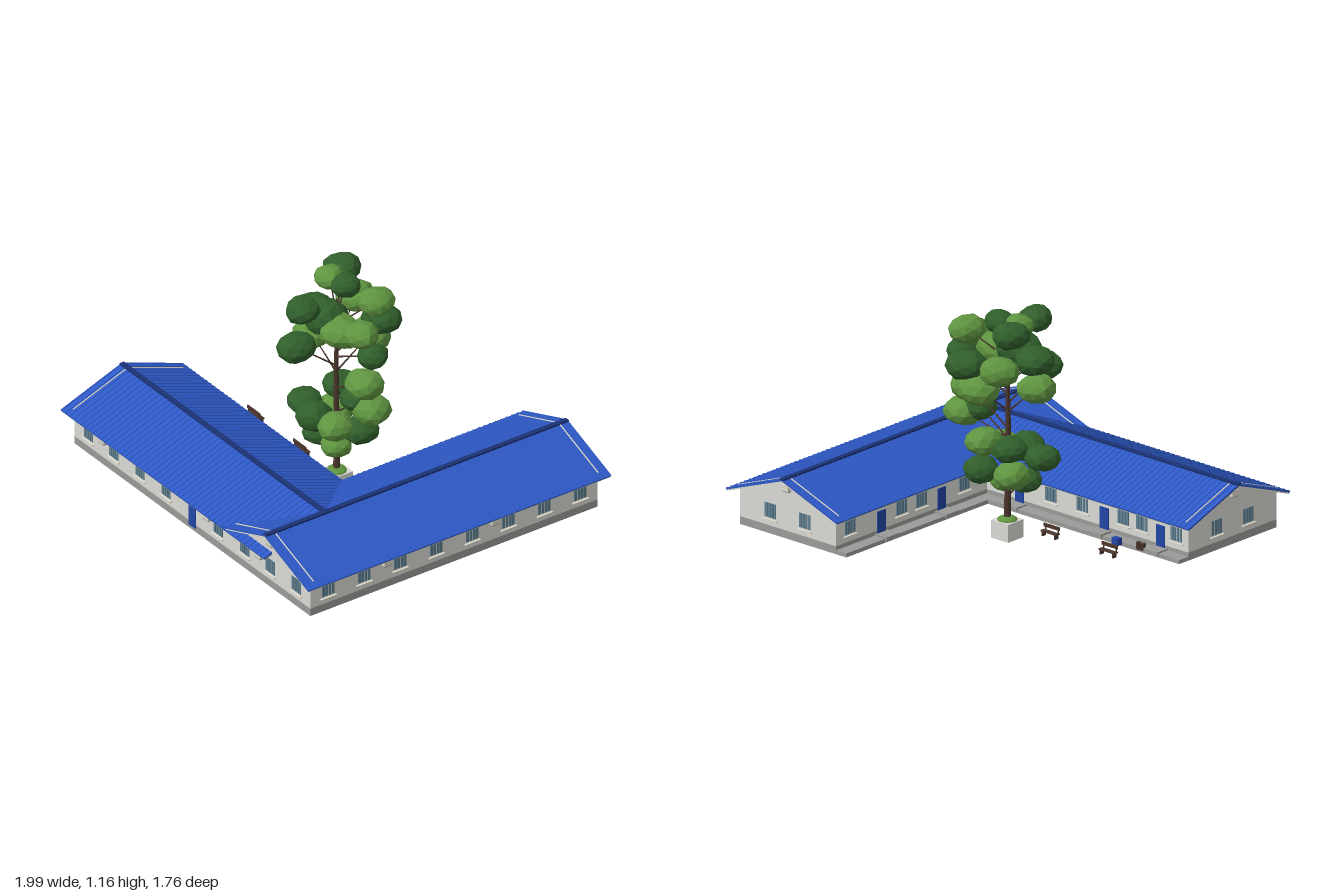
import * as THREE from 'three';

const material = (name, color, flat = false) => {
  const m = new THREE.MeshStandardMaterial({ color, flatShading: flat });
  m.name = name;
  return m;
};

export function createModel() {
  const root = new THREE.Group();
  root.name = 'schoolhouseWithTree';
  const roofBlue = material('roof blue', 0x2d58c6);
  const ridgeBlue = material('ridge navy', 0x1a3274);
  const wall = material('wall grey', 0xd9dad4);
  const plinth = material('plinth grey', 0x9a9a98);
  const glass = material('window glass', 0x5f7f90);
  const doorBlue = material('door blue', 0x2145a6);
  const trim = material('trim cream', 0xdcd9cc);
  const wood = material('wood brown', 0x4b362c);
  const leafLight = material('leaf light green', 0x5f9440, true);
  const leafDark = material('leaf dark green', 0x315f2c, true);

  const add = (parent, name, geo, mat, x = 0, y = 0, z = 0) => {
    const m = new THREE.Mesh(geo, mat);
    m.name = name;
    m.position.set(x, y, z);
    parent.add(m);
    return m;
  };
  const box = (parent, name, mat, w, h, d, x, y, z) =>
    add(parent, name, new THREE.BoxGeometry(w, h, d), mat, x, y, z);
  const group = (parent, name, x = 0, y = 0, z = 0, ry = 0) => {
    const g = new THREE.Group();
    g.name = name;
    g.position.set(x, y, z);
    g.rotation.y = ry;
    parent.add(g);
    return g;
  };

  // Gabled wing along local x, with its ridge at local z = 0
  const RUN = 0.355, RISE = 0.13, HALF = 0.3075, EAVE = 0.24;
  const pitch = Math.atan2(RISE, RUN), slope = Math.hypot(RUN, RISE);
  function wing(name, g, x0, x1, r0, r1, gables) {
    const s = new THREE.Shape();
    [[-HALF, 0.1], [HALF, 0.1], [HALF, 0.241], [0, 0.353], [-HALF, 0.241]]
      .forEach(([a, b], i) => (i ? s.lineTo(a, b) : s.moveTo(a, b)));
    const body = new THREE.ExtrudeGeometry(s, { depth: x1 - x0, bevelEnabled: false });
    body.rotateY(Math.PI / 2);
    add(g, name + 'Walls', body, wall, x0);
    box(g, name + 'Plinth', plinth, x1 - x0, 0.04, HALF * 2, (x0 + x1) / 2, 0.08, 0);

    const len = r1 - r0, mid = (r0 + r1) / 2;
    for (const side of [-1, 1]) {
      const p = group(g, name + 'RoofSlope', mid, EAVE + RISE / 2, side * RUN / 2);
      p.rotation.x = side * pitch;
      box(p, 'roofSheet', roofBlue, len, 0.007, slope, 0, -0.0035, 0);
      box(p, 'roofDeck', trim, len - 0.004, 0.007, slope - 0.004, 0, -0.0105, 0);
      const n = Math.round(len / 0.032);
      for (let i = 0; i <= n; i++)
        box(p, 'roofRib', roofBlue, 0.006, 0.003, slope, -len / 2 + 0.003 + (i * (len - 0.006)) / n, 0.001, 0);
      // Pale seams above the gable walls
      for (const x of gables)
        box(p, 'roofSeam', trim, 0.005, 0.004, slope * 0.86, x - mid, 0.0015, side * -0.012);
    }
    box(g, name + 'RidgeCap', ridgeBlue, len, 0.01, 0.026, mid, EAVE + RISE, 0);
  }
  const frontWing = group(root, 'frontWing', 0, 0, 0.5275);
  wing('frontWing', frontWing, -0.955, 0.5, -1, 0.637, [-0.95]);
  const sideWing = group(root, 'sideWing', 0.6375, 0, 0, Math.PI / 2);
  wing('sideWing', sideWing, -0.835, 0.835, -0.88, 0.88, [-0.825, 0.83]);

  // Wall fittings; ry turns local +z to the outside of the wall
  function windowAt(x, z, ry) {
    const g = group(root, 'window', x, 0.177, z, ry);
    for (let i = 0; i < 4; i++)
      box(g, 'windowPane', glass, 0.014, 0.072, 0.006, (i - 1.5) * 0.0185, 0, 0.001);
    box(g, 'windowSill', trim, 0.09, 0.005, 0.016, 0, -0.046, 0.004);
  }
  function doorAt(x, z, ry, inner) {
    const g = group(root, 'door', x, 0, z, ry);
    box(g, 'doorPanel', doorBlue, 0.055, 0.115, 0.008, 0, 0.138, 0.001);
    if (inner) box(g, 'doorStep', plinth, 0.09, 0.02, 0.075, 0, 0.078, 0.036);
  }
  function coolerAt(x, z, ry, y = 0.205, w = 0.046) {
    const g = group(root, 'airUnit', x, y, z, ry);
    box(g, 'airUnitBox', trim, w, 0.03, 0.022, 0, 0, 0.01);
    box(g, 'airUnitBase', plinth, w, 0.004, 0.022, 0, -0.017, 0.01);
  }
  const Q = Math.PI / 2, FZ = 0.835, RX = 0.945, IZ = 0.22, IX = 0.33;

  // Front wall
  for (const x of [-0.84, -0.635, -0.425, -0.215, 0.205, 0.42, 0.625, 0.835]) windowAt(x, FZ, 0);
  doorAt(-0.002, FZ, 0, false);
  for (const x of [-0.715, 0.125, 0.545]) coolerAt(x, FZ, 0);
  coolerAt(0.637, FZ, 0, 0.32, 0.04);
  // Long outer side wall
  for (let i = 0; i < 8; i++) windowAt(RX, 0.733 - i * 0.2095, Q);
  for (const z of [0.395, -0.233]) coolerAt(RX, z, Q);
  // Gable ends
  for (const d of [-0.11, 0.11]) {
    windowAt(0.6375 + d, -FZ, Math.PI);
    windowAt(-0.955, 0.5275 + d, -Q);
  }
  coolerAt(0.637, -FZ, Math.PI, 0.32, 0.04);
  coolerAt(-0.955, 0.5275, -Q, 0.32, 0.04);
  // Courtyard walls
  for (const x of [-0.78, -0.42, 0.12]) doorAt(x, IZ, Math.PI, true);
  for (const x of [-0.88, -0.66, -0.54, -0.28, -0.08]) windowAt(x, IZ, Math.PI);
  for (const z of [-0.52, -0.1]) doorAt(IX, z, -Q, true);
  for (const z of [-0.74, -0.38, -0.24, 0.06]) windowAt(IX, z, -Q);

  // Raised courtyard walkway
  box(root, 'frontWalkway', plinth, 1.22, 0.02, 0.07, -0.345, 0.07, 0.19);
  box(root, 'sideWalkway', plinth, 0.07, 0.02, 1.06, 0.3, 0.07, -0.305);

  // Benches
  for (const x of [-0.63, -0.26]) {
    const b = group(root, 'bench', x, 0.06, 0.015);
    box(b, 'benchSeat', wood, 0.1, 0.006, 0.026, 0, 0.025, 0);
    box(b, 'benchBack', wood, 0.1, 0.018, 0.005, 0, 0.05, 0.012);
    for (const s of [-1, 1]) {
      box(b, 'benchLeg', wood, 0.006, 0.025, 0.024, s * 0.04, 0.0125, 0);
      box(b, 'benchPost', wood, 0.006, 0.03, 0.004, s * 0.04, 0.04, 0.012);
    }
  }
  // Bin and two barrels beside the walkway
  box(root, 'bin', doorBlue, 0.04, 0.035, 0.03, -0.58, 0.09, 0.13);
  for (const x of [-0.725, -0.698])
    add(root, 'barrel', new THREE.CylinderGeometry(0.014, 0.012, 0.035, 10), wood, x, 0.09, 0.155);

  // Planter
  box(root, 'planter', wall, 0.11, 0.09, 0.11, 0, 0.045, 0);
  const tuft = add(root, 'planterPlants', new THREE.IcosahedronGeometry(0.05, 1), leafLight, 0, 0.09, 0);
  tuft.scale.y = 0.4;

  // Tree trunk and branches
  const limb = (parent, name, a, b, r0, r1) => {
    const d = b.clone().sub(a);
    const m = add(parent, name, new THREE.CylinderGeometry(r1, r0, d.length(), 7), wood);
    m.position.copy(a).addScaledVector(d, 0.5);
    m.quaternion.setFromUnitVectors(new THREE.Vector3(0, 1, 0), d.normalize());
  };
  const tree = group(root, 'tree');
  const V = (x, y, z) => new THREE.Vector3(x, y, z);
  limb(tree, 'trunk', V(0, 0.08, 0), V(-0.005, 0.6, 0), 0.017, 0.013);
  limb(tree, 'trunk', V(-0.005, 0.6, 0), V(0, 1.04, 0), 0.013, 0.004);

  // Leaf clumps: x, y, z, radius
  let seed = 7;
  const rand = () => (seed = (seed * 16807) % 2147483647) / 2147483647;
  const clumps = [
    [-0.15, 1.09, -0.14, 0.085], [-0.1, 1.1, -0.03, 0.07], [0, 1.05, 0.2, 0.08],
    [0.14, 1.05, -0.13, 0.085], [0.0, 1.1, -0.05, 0.07], [0.24, 0.97, 0.03, 0.082],
    [0.29, 0.87, 0, 0.075], [-0.13, 0.92, -0.2, 0.09], [-0.03, 0.95, 0.05, 0.11],
    [0.09, 0.92, 0.04, 0.1], [-0.16, 0.92, 0.02, 0.09], [-0.16, 0.78, 0.03, 0.09],
    [-0.05, 0.82, 0.2, 0.09], [0.02, 0.79, -0.18, 0.1], [0.08, 0.9, -0.2, 0.09],
    [0.25, 0.7, 0.02, 0.09], [0.2, 0.6, 0.03, 0.075], [0.28, 0.57, 0, 0.09],
    [-0.1, 0.49, -0.09, 0.08], [0.07, 0.49, -0.09, 0.085], [-0.16, 0.42, 0.07, 0.08],
    [0.11, 0.42, 0.09, 0.085], [-0.02, 0.43, 0.12, 0.09], [-0.11, 0.36, -0.09, 0.085],
    [0.1, 0.34, -0.07, 0.085], [0.05, 0.27, 0.04, 0.07], [-0.07, 0.29, 0.05, 0.075],
  ];
  clumps.forEach(([x, y, z, r], i) => {
    const geo = new THREE.IcosahedronGeometry(r, 1);
    const p = geo.attributes.position, a = rand() * 6, b = rand() * 6, v = new THREE.Vector3();
    for (let k = 0; k < p.count; k++) {
      v.fromBufferAttribute(p, k);
      const f = 1 + 0.09 * Math.sin((v.x * 3) / r + a) * Math.cos((v.z * 3) / r + b);
      p.setXYZ(k, v.x * f * 1.06, v.y * f * 0.8, v.z * f * 1.06);
    }
    geo.computeVertexNormals();
    const clump = add(tree, 'leafClump', geo, i % 2 ? leafLight : leafDark, x, y, z);
    clump.rotation.y = rand() * 6;
    const base = y > 0.55 ? Math.max(0.5, y - 0.15) : y - 0.08;
    limb(tree, 'branch', V(0, base, 0), V(x, y, z), 0.005, 0.002);
  });
  return root;
}
